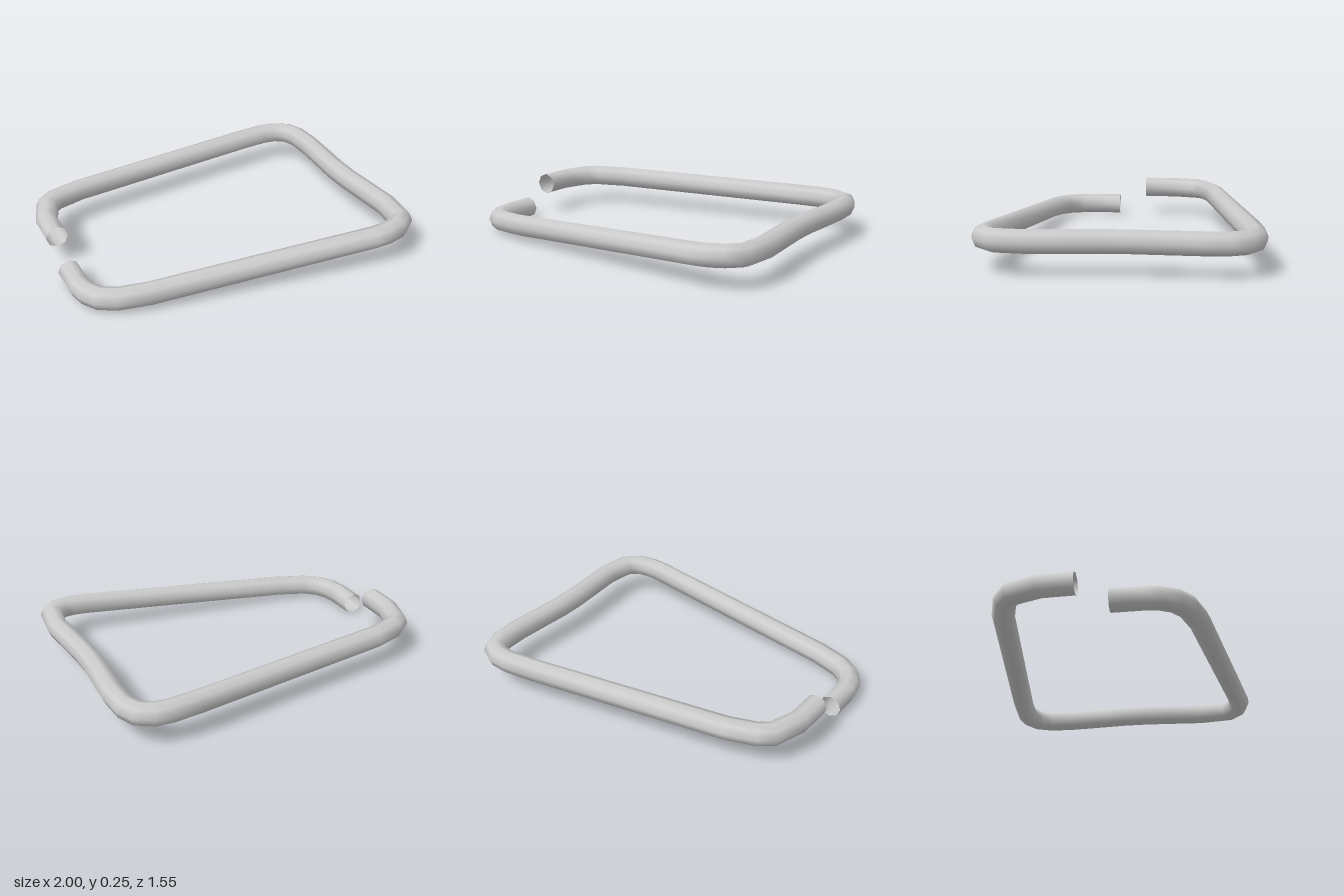
import * as THREE from 'three';

const RADIUS = 0.064;
const SIDES = 8;

// Sweeps an open-ended octagonal tube along a polyline with mitred joints.
function sweepTube(points) {
  const positions = [], index = [];
  const last = points.length - 1;
  const worldUp = new THREE.Vector3(0, 1, 0);
  points.forEach((p, i) => {
    const before = p.clone().sub(points[Math.max(i - 1, 0)]).normalize();
    const after = points[Math.min(i + 1, last)].clone().sub(p).normalize();
    const tangent = before.clone().add(after).normalize();
    const miter = 1 / Math.max(tangent.dot(i < last ? after : before), 0.7);
    const side = new THREE.Vector3().crossVectors(tangent, worldUp).normalize();
    const up = new THREE.Vector3().crossVectors(side, tangent);
    for (let j = 0; j < SIDES; j++) {
      const a = (j / SIDES) * Math.PI * 2;
      const v = p.clone()
        .addScaledVector(side, Math.cos(a) * RADIUS * miter)
        .addScaledVector(up, Math.sin(a) * RADIUS);
      positions.push(v.x, v.y, v.z);
      if (i < last) {
        const k = (j + 1) % SIDES;
        const a0 = i * SIDES + j, a1 = i * SIDES + k;
        index.push(a0, a1, a0 + SIDES, a1, a1 + SIDES, a0 + SIDES);
      }
    }
  });
  const geometry = new THREE.BufferGeometry();
  geometry.setAttribute('position', new THREE.Float32BufferAttribute(positions, 3));
  geometry.setIndex(index);
  geometry.computeVertexNormals();
  return geometry;
}

export function createModel() {
  const group = new THREE.Group();
  group.name = 'wireLink';

  // Level run: rear free end, rear arm and the waisted cross bar (x, z)
  const level = [
    [-0.935, -0.075], [-0.93, -0.27], [-0.875, -0.43], [-0.81, -0.48], [-0.645, -0.53],
    [0.57, -0.7], [0.733, -0.715], [0.82, -0.705], [0.893, -0.66], [0.927, -0.575],
    [0.933, -0.43], [0.918, -0.2], [0.908, -0.07], [0.908, 0.07], [0.918, 0.22],
    [0.935, 0.45], [0.91, 0.63],
  ];
  // Front arm, sloping down to the lower free end
  const sloping = [
    [0.84, 0.69], [0.755, 0.709], [0.675, 0.707], [-0.63, 0.535], [-0.8, 0.49],
    [-0.88, 0.435], [-0.922, 0.36], [-0.935, 0.28], [-0.935, 0.105],
  ];
  const points = [
    ...level.map(([x, z]) => new THREE.Vector3(x, 0.181, z)),
    ...sloping.map(([x, z]) => new THREE.Vector3(x, 0.064 + (x + 0.935) * 0.0655, z)),
  ];

  const material = new THREE.MeshStandardMaterial({ color: 0xcccccc, side: THREE.DoubleSide });
  const tube = new THREE.Mesh(sweepTube(points), material);
  tube.name = 'bentTube';
  group.add(tube);
  return group;
}
